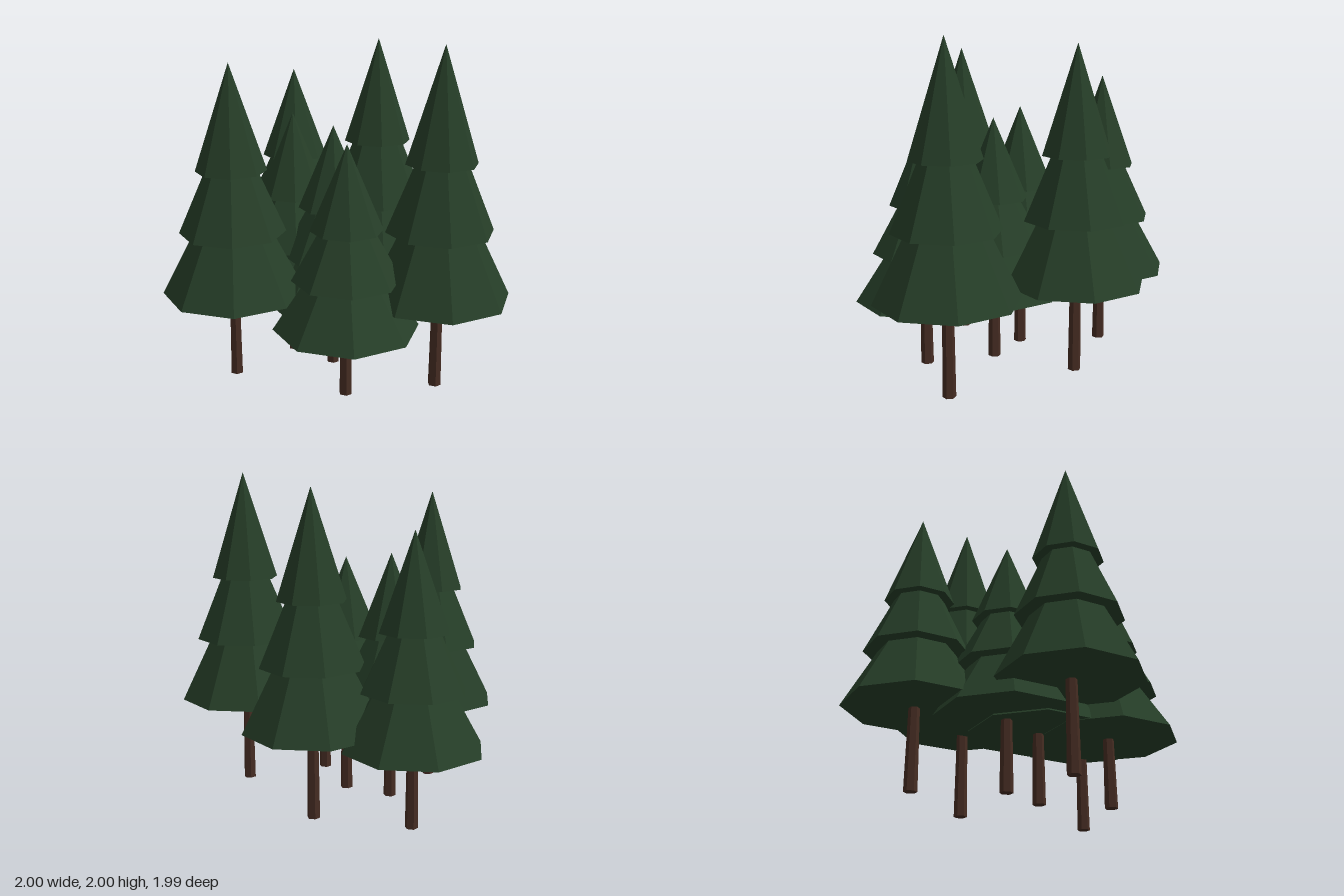
import * as THREE from 'three';

// One entry per tree: x, z, height
const TREES = [
  [-0.585, 0.25, 1.88],
  [-0.18, -0.58, 1.72],
  [0.33, -0.28, 1.945],
  [0.58, 0.51, 2.0],
  [0.045, 0.575, 1.48],
  [-0.215, -0.06, 1.535],
  [0.01, 0.15, 1.495],
];

// Foliage tiers: base and apex as fractions of the tree height, then radius
const TIERS = [
  ['lowerFoliage', 0.281, 0.71, 0.418],
  ['middleFoliage', 0.477, 0.855, 0.311],
  ['topFoliage', 0.672, 1, 0.206],
];

export function createModel() {
  const needles = new THREE.MeshStandardMaterial({ color: 0x263e28, flatShading: true });
  needles.name = 'needleGreen';
  const bark = new THREE.MeshStandardMaterial({ color: 0x452c22, flatShading: true });
  bark.name = 'barkBrown';

  const grove = new THREE.Group();
  grove.name = 'pineGrove';

  TREES.forEach(([x, z, h], i) => {
    const tree = new THREE.Group();
    tree.name = `pineTree${i + 1}`;
    tree.position.set(x, 0, z);

    // Tapered six-sided trunk, ending just inside the foliage
    const trunkH = 0.3 * h;
    const trunk = new THREE.Mesh(new THREE.CylinderGeometry(0.032, 0.039, trunkH, 6), bark);
    trunk.name = 'trunk';
    trunk.position.y = trunkH / 2;
    tree.add(trunk);

    // Three overlapping eight-sided cones
    for (const [name, base, apex, radius] of TIERS) {
      const height = (apex - base) * h;
      const tier = new THREE.Mesh(new THREE.ConeGeometry(radius, height, 8), needles);
      tier.name = name;
      tier.position.y = base * h + height / 2;
      tree.add(tier);
    }
    grove.add(tree);
  });
  return grove;
}
